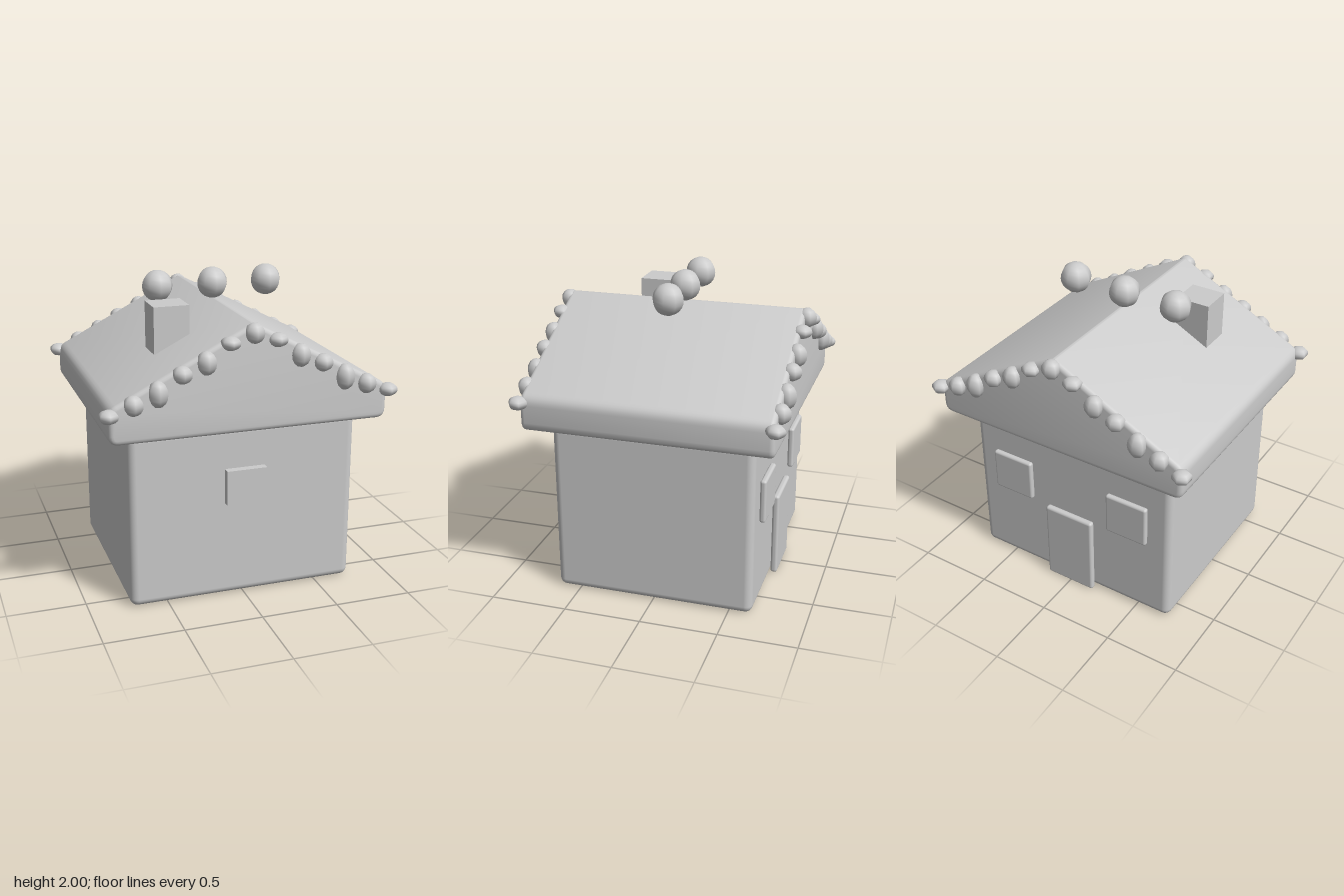
import * as THREE from 'three';
import { RoundedBoxGeometry } from 'three/addons/geometries/RoundedBoxGeometry.js';
import { toCreasedNormals } from 'three/addons/utils/BufferGeometryUtils.js';

const material = new THREE.MeshStandardMaterial({ color: 0xcccccc });

function add(parent, name, geometry, x, y, z) {
  const mesh = new THREE.Mesh(geometry, material);
  mesh.name = name;
  mesh.position.set(x, y, z);
  parent.add(mesh);
  return mesh;
}

// Closed outline with each corner [x, y, radius] softened by a curve
function roundedOutline(corners) {
  const shape = new THREE.Shape();
  const n = corners.length;
  corners.forEach(([x, y, r], i) => {
    const p = new THREE.Vector2(x, y);
    const toward = ([qx, qy]) => new THREE.Vector2(qx - x, qy - y).setLength(r).add(p);
    const a = toward(corners[(i + n - 1) % n]);
    const b = toward(corners[(i + 1) % n]);
    if (i === 0) shape.moveTo(a.x, a.y);
    else shape.lineTo(a.x, a.y);
    shape.quadraticCurveTo(x, y, b.x, b.y);
  });
  shape.closePath();
  return shape;
}

// Gabled roof block with softened edges
function roofGeometry() {
  const outline = roundedOutline([
    [-0.88, 1.14, 0.06], [0.88, 1.14, 0.06], [0.88, 1.36, 0.05],
    [0, 1.81, 0.02], [-0.88, 1.36, 0.05],
  ]);
  const bevel = 0.03;
  const depth = 1.58 - 2 * bevel;
  const geometry = new THREE.ExtrudeGeometry(outline, {
    depth, curveSegments: 5, bevelEnabled: true,
    bevelThickness: bevel, bevelSize: bevel, bevelOffset: -bevel, bevelSegments: 4,
  });
  geometry.translate(0, 0, -depth / 2);
  return toCreasedNormals(geometry, 0.6);
}

export function createModel() {
  const house = new THREE.Group();
  house.name = 'house';

  // Walls and roof
  add(house, 'walls', new RoundedBoxGeometry(1.48, 1.135, 1.3, 4, 0.05), 0, 0.5725, 0);
  add(house, 'roof', roofGeometry(), 0, 0, 0);
  add(house, 'chimney', new THREE.BoxGeometry(0.225, 0.4, 0.21), -0.385, 1.65, 0.285);

  // Front window, back door and back windows
  add(house, 'frontWindow', new THREE.BoxGeometry(0.26, 0.225, 0.1), 0, 0.753, 0.65);
  add(house, 'backDoor', new RoundedBoxGeometry(0.355, 0.57, 0.045, 3, 0.018), 0, 0.288, -0.672);
  for (const side of [-1, 1]) {
    add(house, side > 0 ? 'backWindowLeft' : 'backWindowRight',
      new RoundedBoxGeometry(0.295, 0.287, 0.04, 3, 0.016), side * 0.435, 0.722, -0.67);
  }

  // Three balls in a row over the ridge
  const ball = new THREE.SphereGeometry(0.1, 8, 12);
  [-0.366, 0, 0.366].forEach((x) => add(house, 'roofBall', ball, x, 1.9, 0));

  // Beads down both gable edges: height and half height, from the ridge out
  const beads = [
    [1.75, 0.063], [1.7, 0.043], [1.595, 0.073], [1.537, 0.055],
    [1.435, 0.082], [1.38, 0.063], [1.327, 0.043],
  ];
  const beadGeometry = new THREE.SphereGeometry(1, 6, 8);
  beadGeometry.rotateY(Math.PI / 6);
  const trim = new THREE.Group();
  trim.name = 'gableBeads';
  house.add(trim);
  for (const z of [-0.795, 0.795]) {
    beads.forEach(([y, halfHeight], i) => {
      for (const side of i ? [-1, 1] : [1]) {
        add(trim, 'bead', beadGeometry, side * i * 0.1467, y, z).scale.set(0.062, halfHeight, 0.062);
      }
    });
  }

  return house;
}
